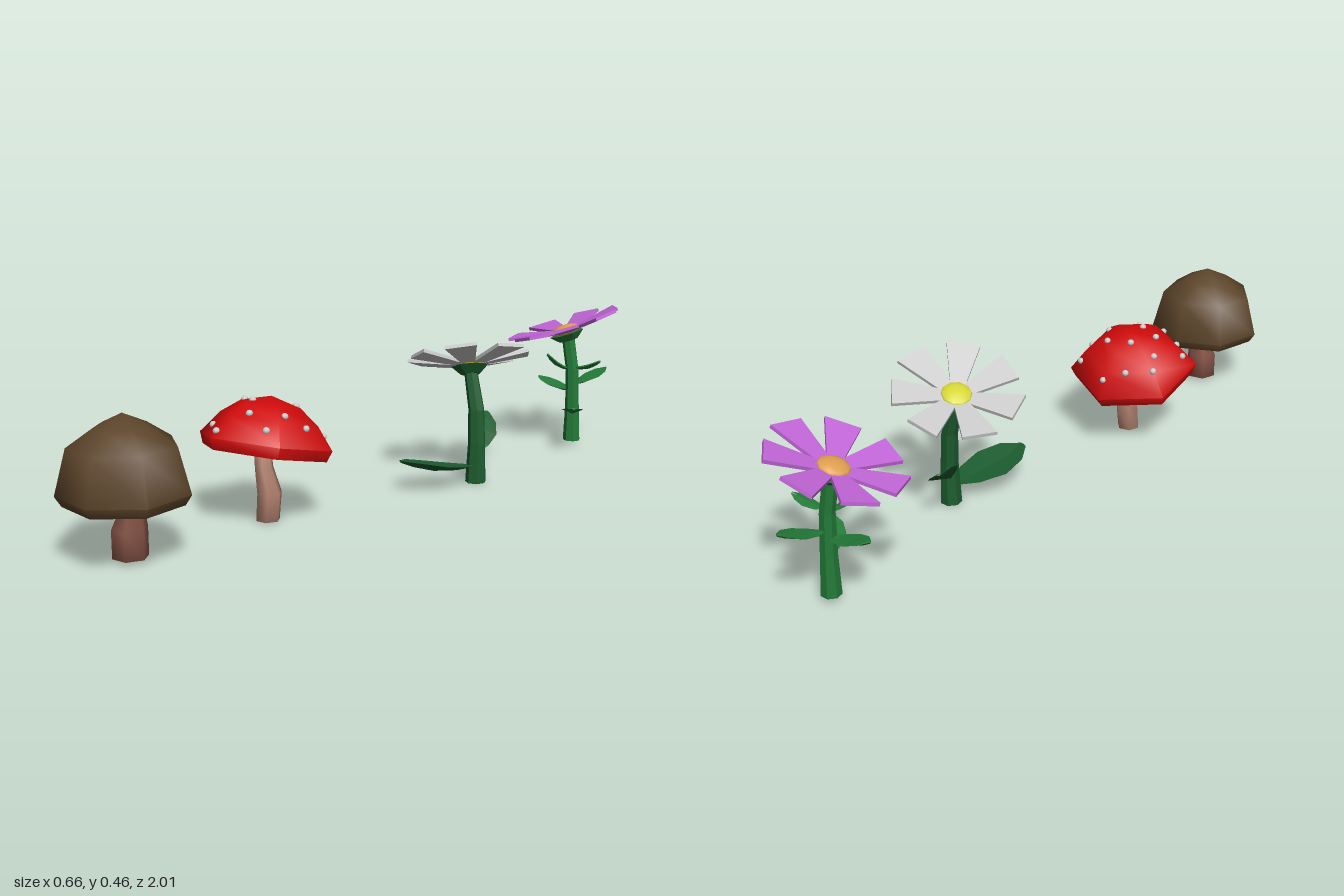
import * as THREE from 'three';
import { toCreasedNormals } from 'three/addons/utils/BufferGeometryUtils.js';

const V = (x, y, z) => new THREE.Vector3(x, y, z);
const mat = (color, flatShading = false) => new THREE.MeshStandardMaterial({ color, flatShading });

function add(parent, name, geometry, material) {
  const mesh = new THREE.Mesh(geometry, material);
  mesh.name = name;
  parent.add(mesh);
  return mesh;
}

// Skins a list of equal rings and closes both ends with fans
function loft(rings) {
  const n = rings[0].length, pos = [], index = [];
  rings.forEach(ring => ring.forEach(p => pos.push(p.x, p.y, p.z)));
  for (let i = 0; i < rings.length - 1; i++) {
    for (let j = 0; j < n; j++) {
      const a = i * n + j, b = i * n + (j + 1) % n;
      index.push(a, b, a + n, b, b + n, a + n);
    }
  }
  for (const i of [0, rings.length - 1]) {
    const c = pos.length / 3, mid = V(0, 0, 0);
    rings[i].forEach(p => mid.addScaledVector(p, 1 / n));
    pos.push(mid.x, mid.y, mid.z);
    for (let j = 0; j < n; j++) {
      const a = i * n + j, b = i * n + (j + 1) % n;
      index.push(c, ...(i === 0 ? [b, a] : [a, b]));
    }
  }
  const g = new THREE.BufferGeometry();
  g.setAttribute('position', new THREE.Float32BufferAttribute(pos, 3));
  g.setIndex(index);
  g.computeVertexNormals();
  return g;
}

// Upright stem through points [x, y, z, radius]
function stemGeometry(points, sides) {
  return loft(points.map(([x, y, z, r]) => Array.from({ length: sides }, (_, j) => {
    const a = (j / sides) * Math.PI * 2;
    return V(x + r * Math.cos(a), y, z - r * Math.sin(a));
  })));
}

// Broad leaf with a shallow keel, running from base to tip
function leafGeometry(base, tip, width, normal = V(0, 1, 0), arch = 0) {
  const dir = tip.clone().sub(base).normalize();
  const side = normal.clone().cross(dir).normalize();
  const up = dir.clone().cross(side);
  const stations = [[0, 0.15], [0.25, 0.7], [0.55, 1], [0.82, 0.75], [1, 0.15]];
  return loft(stations.map(([t, w]) => {
    const c = base.clone().lerp(tip, t).addScaledVector(up, arch * Math.sin(t * Math.PI));
    const half = (w * width) / 2, thick = 0.003 + w * 0.004;
    const at = (s, h) => c.clone().addScaledVector(side, s).addScaledVector(up, h);
    return [at(half, half * 0.2), at(0, thick), at(-half, half * 0.2), at(0, -thick)];
  }));
}

function capGeometry(profile, sides, phiStart) {
  const pts = profile.map(([r, y]) => new THREE.Vector2(r, y)).reverse();
  return toCreasedNormals(new THREE.LatheGeometry(pts, sides, phiStart), 1.1);
}

// Flower head: seven wedge petals, calyx and domed centre
function flowerHead(parent, position, normal, phase, petalColor, centreColor, greenMat) {
  const head = new THREE.Group();
  head.name = 'flowerHead';
  head.position.copy(position);
  head.quaternion.setFromUnitVectors(V(0, 1, 0), normal.clone().normalize());
  parent.add(head);

  const shape = new THREE.Shape();
  shape.moveTo(-0.018, 0.025);
  shape.lineTo(0.018, 0.025);
  shape.lineTo(0.05, 0.172);
  shape.lineTo(-0.044, 0.183);
  const petal = new THREE.ExtrudeGeometry(shape, { depth: 0.01, bevelEnabled: false });
  petal.rotateX(-Math.PI / 2 + 0.16);
  const petalMat = mat(petalColor, true);
  for (let i = 0; i < 7; i++) {
    add(head, 'petal', petal, petalMat).rotation.y = -phase - (i / 7) * Math.PI * 2;
  }

  const dome = new THREE.SphereGeometry(0.046, 10, 6);
  dome.scale(1, 0.4, 1);
  add(head, 'flowerCentre', dome, mat(centreColor)).position.y = 0.012;
  add(head, 'calyx', new THREE.CylinderGeometry(0.056, 0.03, 0.024, 7), greenMat).position.y = -0.01;
}

export function createModel() {
  const model = new THREE.Group();
  const plant = name => {
    const g = new THREE.Group();
    g.name = name;
    model.add(g);
    return g;
  };

  // Brown mushroom
  const brown = plant('brownMushroom');
  const brownCap = [[0, 0.38], [0.07, 0.347], [0.14, 0.3], [0.172, 0.18], [0.155, 0.153], [0.07, 0.19], [0, 0.2]];
  add(brown, 'brownCap', capGeometry(brownCap, 7, -Math.PI / 2), mat(0x5c4429)).position.set(-0.162, 0, 0.838);
  add(brown, 'brownMushroomStem', stemGeometry([
    [-0.157, 0.01, 0.833, 0.047], [-0.157, 0.085, 0.833, 0.047],
    [-0.148, 0.13, 0.833, 0.034], [-0.148, 0.21, 0.833, 0.032]], 6), mat(0x8a5648));

  // Red mushroom, cap leaning back
  const red = plant('redMushroom');
  const redCap = [[0, 0.13], [0.085, 0.108], [0.14, 0.068], [0.19, 0.006], [0.178, -0.025], [0.07, 0.015], [0, 0.02]];
  const cap = add(red, 'redCap', capGeometry(redCap, 6, -0.157), mat(0xd00a0a));
  cap.position.set(-0.11, 0.21, 0.365);
  cap.rotation.x = -0.23;
  add(red, 'redMushroomStem', stemGeometry([
    [-0.092, 0.002, 0.38, 0.034], [-0.085, 0.08, 0.38, 0.035],
    [-0.105, 0.15, 0.378, 0.026], [-0.11, 0.235, 0.375, 0.024]], 6), mat(0xb3826f));

  // Spots dropped onto the cap surface
  model.updateMatrixWorld(true);
  const spots = [[-0.14, 0.235], [-0.215, 0.265], [-0.015, 0.225], [-0.2, 0.305], [-0.125, 0.305], [-0.05, 0.305],
    [0.02, 0.35], [-0.255, 0.395], [-0.18, 0.365], [-0.125, 0.395], [-0.015, 0.395], [-0.21, 0.46],
    [-0.09, 0.45], [-0.14, 0.525], [-0.02, 0.465], [-0.08, 0.21], [0.03, 0.29]];
  const spotGeo = new THREE.IcosahedronGeometry(0.01, 1), spotMat = mat(0xcccccc);
  const ray = new THREE.Raycaster();
  for (const [x, z] of spots) {
    ray.set(V(x, 1, z), V(0, -1, 0));
    const hit = ray.intersectObject(cap)[0];
    if (hit) add(red, 'spot', spotGeo, spotMat).position.copy(hit.point);
  }

  // White flower
  const white = plant('whiteFlower');
  const darkGreen = mat(0x1c5c2e, true);
  add(white, 'whiteFlowerStem', stemGeometry([
    [0.165, 0, -0.272, 0.031], [0.167, 0.12, -0.272, 0.026],
    [0.16, 0.22, -0.278, 0.024], [0.13, 0.335, -0.29, 0.02]], 7), darkGreen);
  add(white, 'frontLeaf', leafGeometry(V(0.165, 0.05, -0.265), V(0.055, 0.095, -0.04), 0.14, V(-0.1, 1, 0), -0.015), darkGreen);
  add(white, 'backLeaf', leafGeometry(V(0.155, 0.085, -0.285), V(0.105, 0.175, -0.43), 0.09, V(0.6, 0.6, 0.3)), darkGreen);
  flowerHead(white, V(0.125, 0.34, -0.295), V(-0.28, 1, -0.28), 0, 0xcccccc, 0xd6d636, darkGreen);

  // Pink flower
  const pink = plant('pinkFlower');
  const green = mat(0x237a38, true);
  add(pink, 'pinkFlowerStem', stemGeometry([
    [0.185, 0.015, -0.832, 0.028], [0.185, 0.13, -0.83, 0.023],
    [0.182, 0.25, -0.828, 0.021], [0.165, 0.355, -0.826, 0.021]], 7), green);
  const leaves = [
    [V(0.185, 0.12, -0.82), V(0.26, 0.152, -0.7)],
    [V(0.18, 0.18, -0.83), V(0.05, 0.208, -0.845)],
    [V(0.185, 0.2, -0.84), V(0.235, 0.24, -0.96)],
    [V(0.185, 0.255, -0.83), V(0.275, 0.285, -0.84)],
    [V(0.175, 0.25, -0.82), V(0.118, 0.3, -0.775)]];
  leaves.forEach(([base, tip], i) => add(pink, 'leaf', leafGeometry(base, tip, i < 3 ? 0.07 : 0.045, V(0, 1, 0), -0.008), green));
  flowerHead(pink, V(0.16, 0.365, -0.825), V(-0.31, 1, 0.1), -0.07, 0xc266d8, 0xe0a050, green);

  return model;
}
